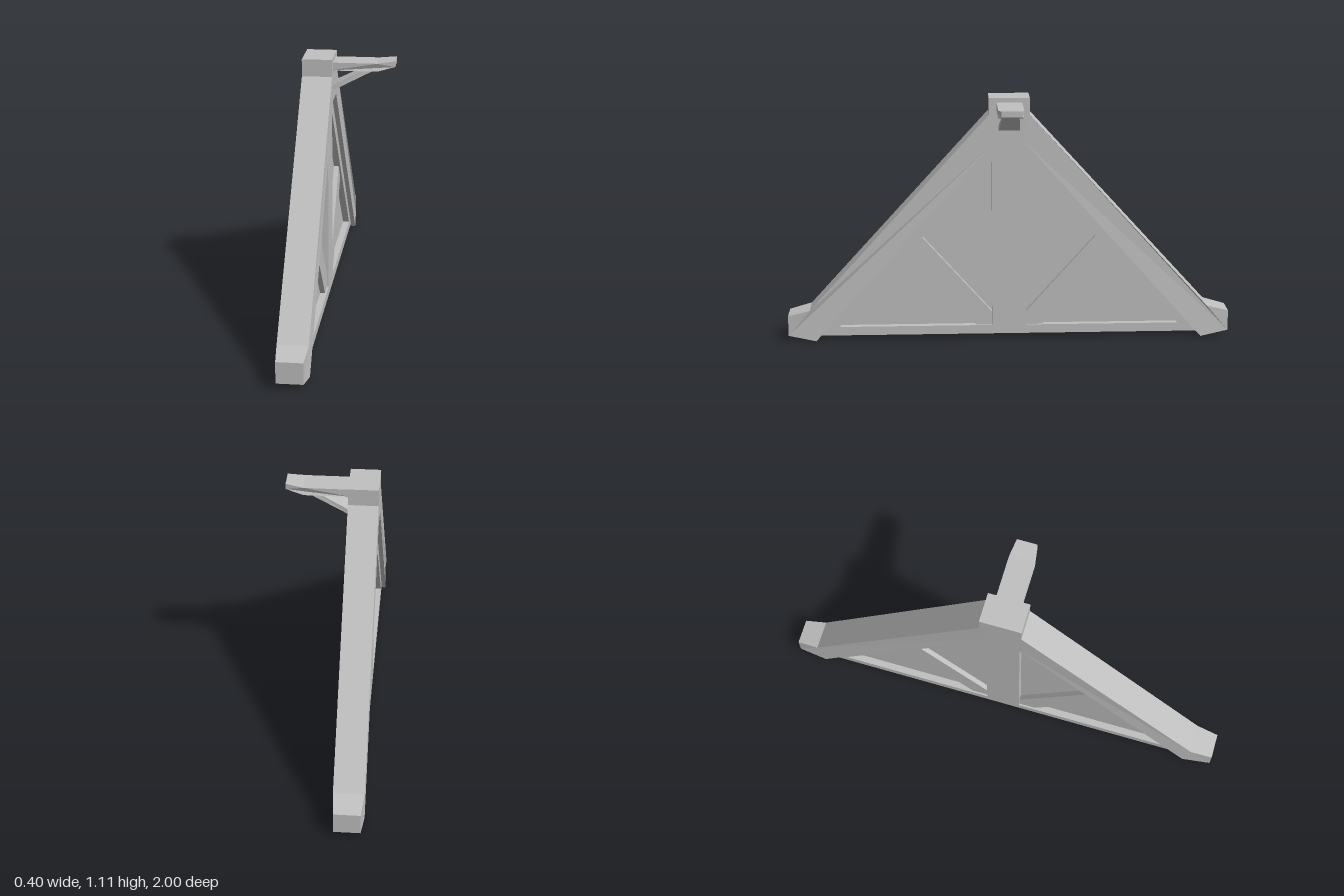
import * as THREE from 'three';

const WALL_X = -0.135; // centre plane of the truss

const toPath = (pts, Type = THREE.Shape) => new Type(pts.map(([a, b]) => new THREE.Vector2(a, b)));
const mirrorPts = (pts) => pts.map(([z, y]) => [-z, y]).reverse();

// Extrude a profile symmetrically about its own plane
function slab(outline, thickness, holes = []) {
  const shape = toPath(outline);
  shape.holes = holes.map((h) => toPath(h, THREE.Path));
  const geo = new THREE.ExtrudeGeometry(shape, { depth: thickness, bevelEnabled: false });
  return geo.translate(0, 0, -thickness / 2);
}

// Move every vertex by a rule, then rebuild the flat normals
function reshape(geo, rule) {
  const p = geo.attributes.position;
  const v = new THREE.Vector3();
  for (let i = 0; i < p.count; i++) {
    v.fromBufferAttribute(p, i);
    rule(v);
    p.setXYZ(i, v.x, v.y, v.z);
  }
  geo.computeVertexNormals();
  return geo;
}

export function createModel() {
  const group = new THREE.Group();
  const stone = new THREE.MeshStandardMaterial({ color: 0xc0c0c0 });
  stone.name = 'plain grey';

  const add = (name, geo) => {
    const mesh = new THREE.Mesh(geo, stone);
    mesh.name = name;
    group.add(mesh);
  };
  // Profiles drawn as (z, y) are turned into the plane of the truss
  const addToWall = (name, geo) => add(name, geo.rotateY(-Math.PI / 2).translate(WALL_X, 0, 0));

  // Rafters with ridge block and flared feet, narrowed at the tips
  const half = [
    [0.06, 0.92], [0.875, 0], [1, 0.025], [1, 0.118],
    [0.9, 0.145], [0.09, 1.035], [0.09, 1.11],
  ];
  const rafters = slab([...half, ...mirrorPts(half)], 0.13);
  addToWall('rafters', reshape(rafters, (v) => {
    if (Math.abs(v.x) > 0.95) v.z *= 0.86;
  }));

  // Inner frame: tie beam, king post and inner rafter strips
  const infill = [[-0.87, 0.02], [0.87, 0.02], [0.06, 0.935], [-0.06, 0.935]];
  const opening = [[0.077, 0.06], [0.77, 0.06], [0.077, 0.82]];
  addToWall('innerFrame', slab(infill, 0.09, [opening, mirrorPts(opening)]));

  // Thin panel closing the openings
  addToWall('backPanel', slab(infill.map(([z, y]) => [z * 0.99, y * 0.98 + 0.01]), 0.03));

  // Diagonal braces from the foot of the post to the rafters
  const brace = [[0.07, 0.05], [0.141, 0.05], [0.467, 0.412], [0.397, 0.483], [0.07, 0.114]];
  addToWall('braceFront', slab(brace, 0.074));
  addToWall('braceBack', slab(mirrorPts(brace), 0.074));

  // Bracket arm with upturned, narrowed tip
  const arm = slab([
    [-0.08, 1.055], [0.12, 1.055], [0.197, 1.075],
    [0.197, 1.1], [0.12, 1.09], [-0.08, 1.09],
  ], 0.112);
  add('bracketArm', reshape(arm, (v) => {
    if (v.x > 0.15) v.z *= 0.8;
  }));

  // Sloping strut under the arm, wider at the wall
  const strut = slab([[-0.075, 0.963], [0.115, 1.06], [0.07, 1.06], [-0.075, 0.986]], 0.096);
  add('bracketStrut', reshape(strut, (v) => {
    if (v.x > 0) v.z *= 0.75;
  }));

  return group;
}
